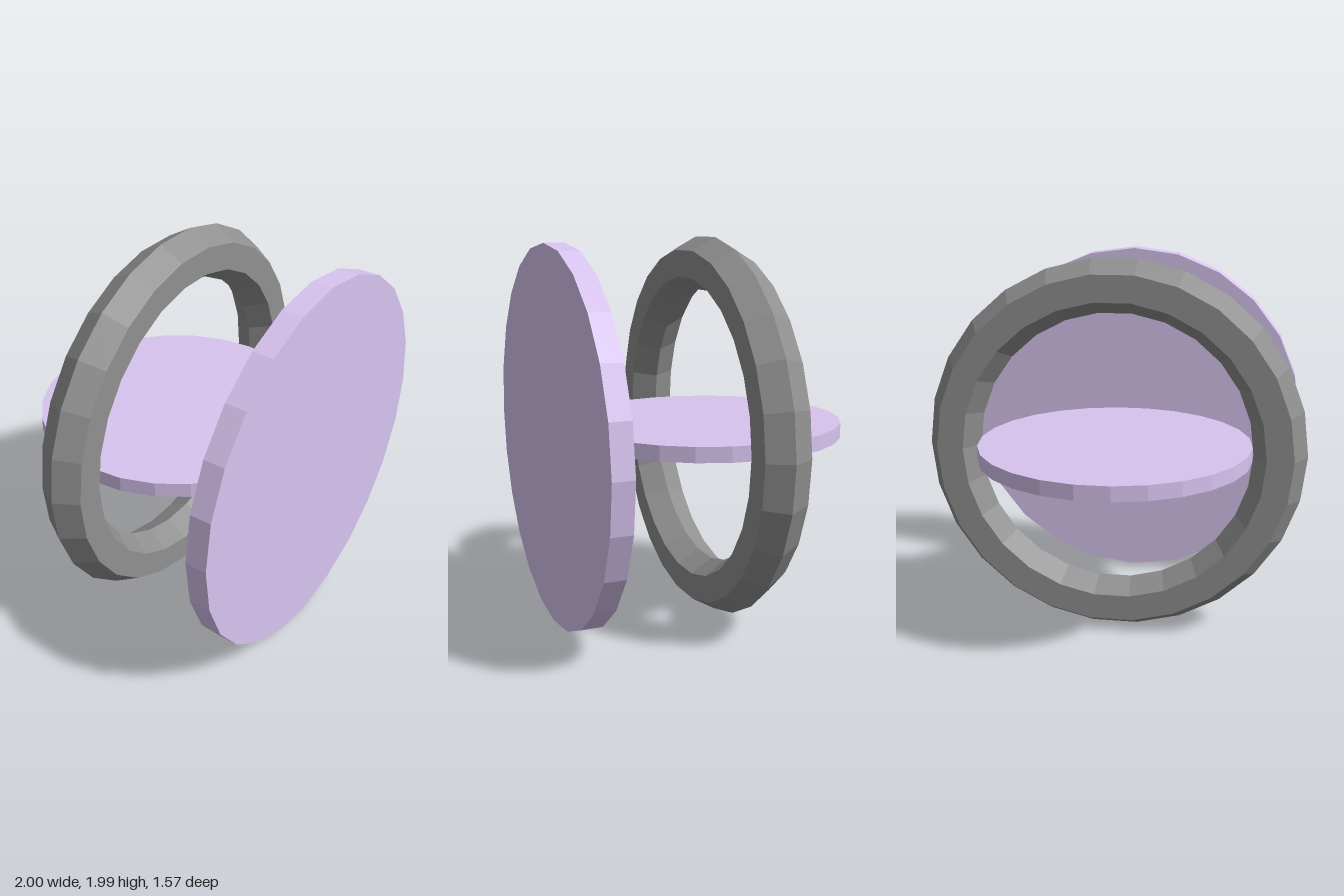
import * as THREE from 'three';

const AXIS_Z = -0.074; // centre of ring and inner disc

function addMesh(group, name, geometry, color, x, y, z) {
  const material = new THREE.MeshStandardMaterial({ color, flatShading: true });
  const mesh = new THREE.Mesh(geometry, material);
  mesh.name = name;
  mesh.position.set(x, y, z);
  group.add(mesh);
  return mesh;
}

// Flat disc lying in the xz plane, with a corner pointing along +x
function discGeometry(radius, thickness, sides) {
  return new THREE.CylinderGeometry(radius, radius, thickness, sides).rotateY(Math.PI / 2);
}

export function createModel() {
  const group = new THREE.Group();
  const lilac = 0xd8c4f0;
  const grey = 0x909090;

  // Upright ring with a six-sided section
  addMesh(group, 'ring', new THREE.TorusGeometry(0.861, 0.139, 6, 26), grey, 0, 1, AXIS_Z);

  // Level disc fitted across the inside of the ring
  addMesh(group, 'innerDisc', discGeometry(0.718, 0.078, 26), lilac, 0, 1, AXIS_Z);

  // Upright plate standing in front of the ring
  addMesh(group, 'frontPlate', discGeometry(0.968, 0.108, 24).rotateX(Math.PI / 2), lilac, 0, 1, 0.733);

  // Rest the flat lower edge of the ring on the ground
  const box = new THREE.Box3().setFromObject(group);
  for (const part of group.children) part.position.y -= box.min.y;

  return group;
}
